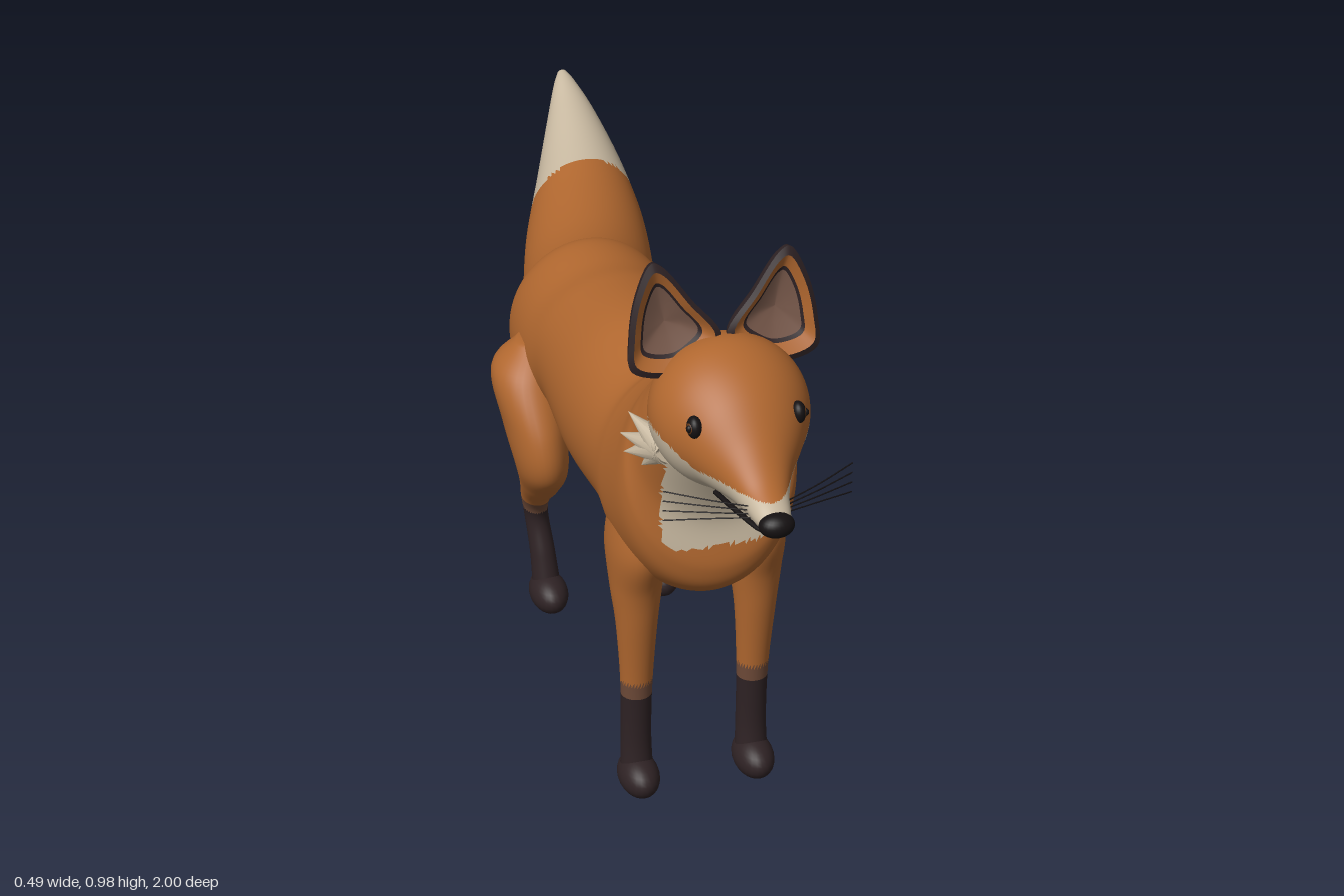
import * as THREE from 'three';

const V = (x, y, z) => new THREE.Vector3(x, y, z);
const mat = (name, color) => Object.assign(new THREE.MeshStandardMaterial({ color }), { name });

export function createModel() {
  const orange = mat('orange fur', 0xb0672f);
  const cream = mat('cream fur', 0xc6b79f);
  const dark = mat('dark fur', 0x2e2224);
  const brown = mat('brown fur', 0x6e4a38);
  const innerEar = mat('inner ear', 0x77584a);
  const black = mat('black', 0x151112);
  const amber = mat('amber eye', 0x5e3516);

  const root = new THREE.Group();
  root.name = 'fox';
  const body = new THREE.Group();
  body.name = 'body';
  body.position.x = -0.054;
  root.add(body);

  const add = (name, geo, material, parent = body) => {
    const m = new THREE.Mesh(geo, material);
    m.name = name;
    parent.add(m);
    return m;
  };

  // Skin over closed rings; pick(centre) gives the material index of each face
  function skin(rings, flip, pick) {
    const n = rings[0].length, pts = rings.flat(), lists = [[], [], []];
    const tri = (a, b, c) => {
      const mid = pts[a].clone().add(pts[b]).add(pts[c]).divideScalar(3);
      lists[pick ? pick(mid) : 0].push(...(flip ? [a, c, b] : [a, b, c]));
    };
    for (let i = 0; i < rings.length - 1; i++) {
      for (let j = 0; j < n; j++) {
        const k = (j + 1) % n, p = i * n, q = p + n;
        tri(p + j, p + k, q + j);
        tri(p + k, q + k, q + j);
      }
    }
    const geo = new THREE.BufferGeometry().setFromPoints(pts);
    geo.setIndex(lists.flat());
    geo.computeVertexNormals();
    let start = 0;
    lists.forEach((l, i) => {
      if (l.length) geo.addGroup(start, l.length, i);
      start += l.length;
    });
    return geo;
  }

  // Smooth loft; each station is [z1, y1, z2, y2, x, halfWidth], two opposite points of a section
  function loft(stations, around, steps, pick) {
    const A = new THREE.CatmullRomCurve3(stations.map(s => V(s[4], s[1], s[0])), false, 'catmullrom');
    const B = new THREE.CatmullRomCurve3(stations.map(s => V(s[4], s[3], s[2])), false, 'catmullrom');
    const W = new THREE.CatmullRomCurve3(stations.map(s => V(s[5], 0, 0)), false, 'catmullrom');
    const count = (stations.length - 1) * steps, rings = [];
    const ring = (t, size) => {
      const a = A.getPoint(t), b = B.getPoint(t), w = W.getPoint(t).x;
      const c = a.clone().add(b).multiplyScalar(0.5), d = a.sub(b).multiplyScalar(0.5 * size);
      rings.push(Array.from({ length: around }, (_, j) => {
        const u = (j / around) * Math.PI * 2;
        return c.clone().addScaledVector(d, Math.cos(u)).add(V(Math.sin(u) * w * size, 0, 0));
      }));
    };
    ring(0, 0);
    for (let i = 0; i <= count; i++) ring(i / count, 1);
    ring(1, 0);
    const travel = B.getPoint(1).sub(B.getPoint(0));
    const axis = A.getPoint(0).sub(B.getPoint(0)).cross(V(1, 0, 0));
    return skin(rings, travel.dot(axis) < 0, pick);
  }

  const ball = (name, material, p, r, parent) => {
    const m = add(name, new THREE.SphereGeometry(1, 24, 16), material, parent);
    m.position.set(...p);
    m.scale.set(...r);
    return m;
  };
  const strand = (name, pts, r, material) =>
    add(name, new THREE.TubeGeometry(new THREE.CatmullRomCurve3(pts), 16, r, 6), material);

  // Torso and neck, with cream belly and bib
  add('torso', loft([
    [-0.09, 0.57, -0.09, 0.41, 0, 0.09], [-0.05, 0.615, -0.05, 0.36, 0, 0.12],
    [0, 0.648, 0, 0.342, 0, 0.135], [0.1, 0.655, 0.1, 0.345, 0, 0.14],
    [0.18, 0.67, 0.18, 0.39, 0, 0.136], [0.33, 0.69, 0.33, 0.37, 0, 0.14],
    [0.47, 0.68, 0.5, 0.39, 0, 0.135], [0.52, 0.7, 0.62, 0.375, 0, 0.14],
    [0.58, 0.735, 0.7, 0.41, 0, 0.14], [0.615, 0.77, 0.725, 0.46, 0, 0.134],
    [0.64, 0.79, 0.715, 0.55, 0, 0.12], [0.67, 0.82, 0.755, 0.65, 0, 0.105],
    [0.7, 0.84, 0.78, 0.69, 0, 0.085],
  ], 96, 12, p => {
    const belly = p.y < 0.5 && p.z > 0.2 && p.z < 0.53 && Math.abs(p.x) < 0.08;
    const corner = Math.max(0, Math.abs(p.x) - 0.06);
    const bib = p.y > 0.5 + corner * corner * 30 && p.z > 0.655 && Math.abs(p.x) < 0.086;
    return belly || bib ? 1 : 0;
  }), [orange, cream]);

  // Tail with cream tip
  const tail = [
    [-0.04, 0.59, -0.04, 0.42, -0.04, 0.08], [-0.1, 0.575, -0.09, 0.375, -0.03, 0.09],
    [-0.2, 0.53, -0.17, 0.32, -0.012, 0.1], [-0.31, 0.465, -0.26, 0.245, 0.025, 0.115],
    [-0.42, 0.41, -0.4, 0.165, 0.06, 0.122], [-0.54, 0.387, -0.53, 0.14, 0.092, 0.124],
    [-0.68, 0.395, -0.7, 0.175, 0.127, 0.113], [-0.8, 0.42, -0.84, 0.26, 0.152, 0.083],
    [-0.91, 0.453, -0.93, 0.365, 0.164, 0.048], [-0.97, 0.476, -0.98, 0.435, 0.166, 0.022],
    [-0.992, 0.482, -1, 0.468, 0.166, 0.008],
  ].map(s => s.map((v, i) => (i === 4 ? v + 0.054 : v)));
  add('tail', loft(tail, 64, 12, p => (p.z < -0.75 ? 1 : 0)), [orange, cream]);

  // Head with cream muzzle and cheeks
  add('head', loft([
    [0.66, 0.81, 0.66, 0.71, 0, 0.06], [0.69, 0.848, 0.69, 0.665, 0, 0.097],
    [0.74, 0.865, 0.74, 0.645, 0, 0.117], [0.79, 0.855, 0.79, 0.647, 0, 0.112],
    [0.84, 0.825, 0.84, 0.665, 0, 0.086], [0.89, 0.775, 0.89, 0.674, 0, 0.053],
    [0.93, 0.738, 0.93, 0.677, 0, 0.035], [0.965, 0.718, 0.965, 0.678, 0, 0.026],
    [0.985, 0.706, 0.985, 0.684, 0, 0.018],
  ], 80, 10, p => (p.z > 0.69 && p.y < 0.72 + Math.max(0, Math.abs(p.x) - 0.08) * 0.8 ? 1 : 0)),
  [orange, cream]);
  ball('nose', black, [0, 0.695, 0.98], [0.026, 0.018, 0.02]);
  strand('mouth', [V(-0.053, 0.688, 0.862), V(-0.034, 0.683, 0.92), V(-0.014, 0.678, 0.965),
    V(0, 0.68, 0.98), V(0.014, 0.678, 0.965), V(0.034, 0.683, 0.92), V(0.053, 0.688, 0.862)], 0.004, black);

  // Ear outline, scaled towards its middle to give rings at a chosen depth
  const outline = new THREE.CatmullRomCurve3([
    V(0.004, 0.86, 0), V(0.035, 0.828, 0), V(0.075, 0.81, 0), V(0.139, 0.825, 0), V(0.141, 0.87, 0),
    V(0.128, 0.935, 0), V(0.103, 0.981, 0), V(0.088, 0.975, 0), V(0.046, 0.92, 0),
  ], true).getPoints(60).slice(0, -1);
  const earRing = (side, s, depth) => outline.map(p => {
    const x = 0.083 + (p.x - 0.083) * s, y = 0.885 + (p.y - 0.885) * s;
    return V(x * side, y, 0.735 - (y - 0.82) * 0.17 + depth);
  });
  const earLayers = [
    ['earRim', dark, [[1, 0], [0.87, 0.004]]],
    ['earFur', orange, [[0.87, 0.004], [0.66, -0.006]]],
    ['earInnerRim', dark, [[0.66, -0.006], [0.59, -0.009]]],
    ['earInside', innerEar, [[0.59, -0.009], [0.3, -0.017], [0, -0.02]]],
  ];
  const dome = [1, 0.97, 0.9, 0.8, 0.65, 0.45, 0.2, 0].map(s => [s, -0.042 * Math.sqrt(1 - s * s)]);

  for (const side of [1, -1]) {
    const label = side > 0 ? 'left' : 'right';

    for (const [name, m, rows] of earLayers)
      add(label + ' ' + name, skin(rows.map(([s, d]) => earRing(side, s, d)), side < 0), m);
    add(label + ' earBack', skin(dome.map(([s, d]) => earRing(side, s, d)), side > 0), dark);

    // Eyes
    ball(label + ' eye', black, [side * 0.077, 0.783, 0.836], [0.011, 0.017, 0.015]);
    ball(label + ' iris', amber, [side * 0.081, 0.784, 0.839], [0.009, 0.01, 0.009]);
    ball(label + ' pupil', black, [side * 0.086, 0.785, 0.842], [0.005, 0.006, 0.005]);

    // Cheek tufts
    [[0.142, 0.675, 0.7], [0.144, 0.7, 0.687], [0.134, 0.74, 0.697], [0.122, 0.663, 0.725]].forEach(t => {
      const from = V(side * 0.095, 0.705, 0.755), tip = V(side * t[0], t[1], t[2]);
      const dir = tip.clone().sub(from), len = dir.length();
      const c = add(label + ' cheekTuft', new THREE.ConeGeometry(0.025, len, 14), cream);
      c.position.copy(from).addScaledVector(dir, 0.5);
      c.quaternion.setFromUnitVectors(V(0, 1, 0), dir.normalize());
    });

    // Whiskers
    for (let i = 0; i < 4; i++) {
      const y = 0.69 + i * 0.006;
      strand(label + ' whisker', [V(side * 0.024, y, 0.945), V(side * 0.08, y + (i - 1) * 0.004, 0.925),
        V(side * 0.14, y + (i - 1.5) * 0.01, 0.895)], 0.0011, black);
    }

    // Legs: stations are [y, z, x, halfWidth, halfDepth]
    const leg = (name, rows) => add(label + ' ' + name, loft(
      rows.map(([y, z, x, w, d]) => [z + d, y, z - d, y, side * x, w]), 32, 10,
      p => (p.y < 0.178 ? 2 : p.y < 0.205 ? 1 : 0)), [orange, brown, dark]);
    leg('frontLeg', [
      [0.52, 0.6, 0.09, 0.04, 0.06], [0.45, 0.6, 0.094, 0.045, 0.072], [0.38, 0.605, 0.095, 0.04, 0.046],
      [0.31, 0.61, 0.095, 0.032, 0.032], [0.2, 0.607, 0.094, 0.025, 0.024],
      [0.1, 0.605, 0.094, 0.024, 0.023], [0.03, 0.61, 0.094, 0.026, 0.026],
    ]);
    leg('hindLeg', [
      [0.53, 0.085, 0.115, 0.03, 0.03], [0.48, 0.095, 0.134, 0.055, 0.068], [0.4, 0.13, 0.13, 0.05, 0.083],
      [0.33, 0.153, 0.124, 0.042, 0.064], [0.27, 0.112, 0.117, 0.032, 0.05], [0.21, 0.055, 0.11, 0.024, 0.034],
      [0.165, 0.036, 0.105, 0.02, 0.027], [0.1, 0.057, 0.1, 0.021, 0.024], [0.03, 0.075, 0.097, 0.024, 0.026],
    ]);
    ball(label + ' frontPaw', dark, [side * 0.094, 0.032, 0.62], [0.032, 0.032, 0.05]);
    ball(label + ' hindPaw', dark, [side * 0.097, 0.032, 0.084], [0.032, 0.032, 0.051]);
  }
  return root;
}
